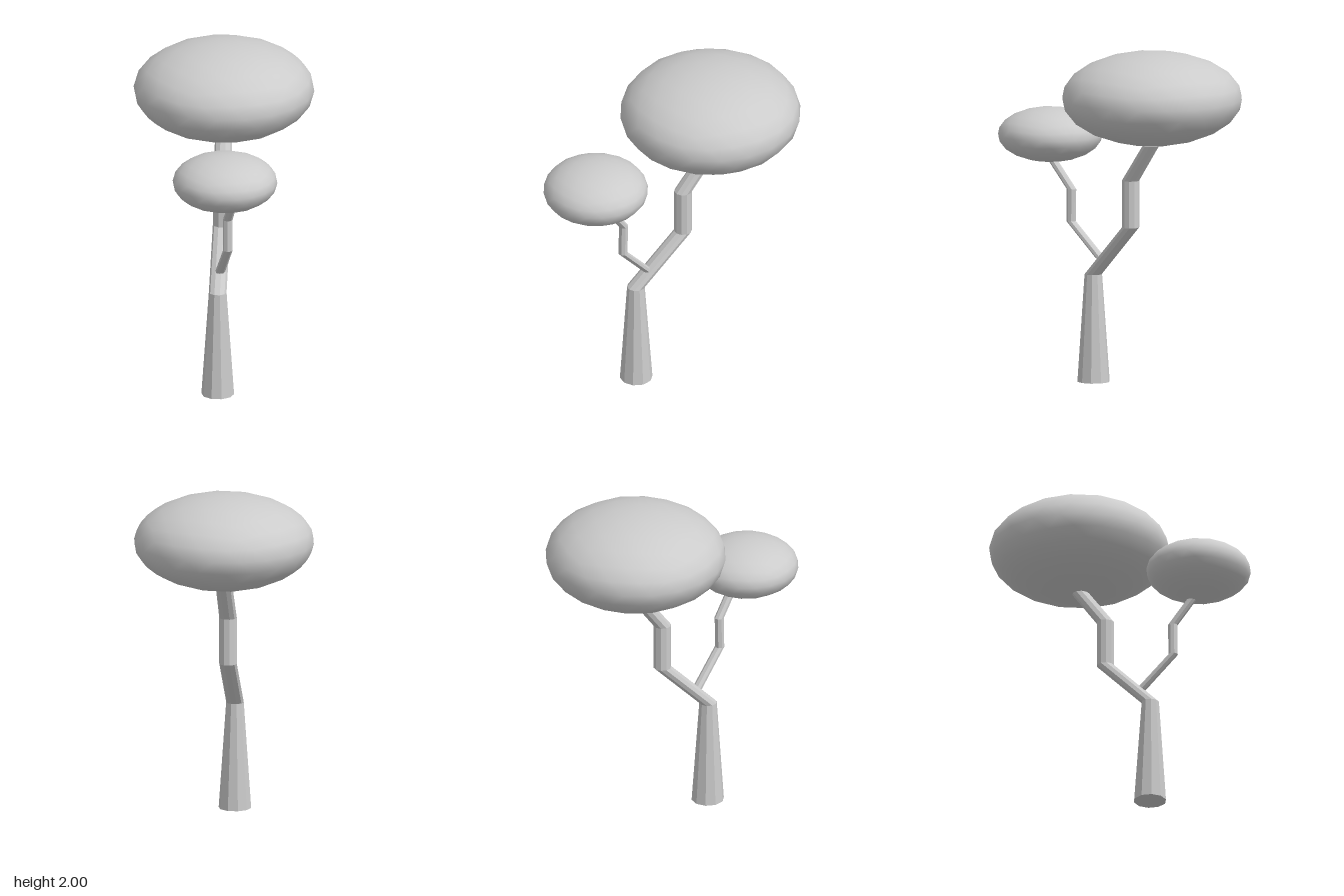
import * as THREE from 'three';

const bark = new THREE.MeshStandardMaterial({ color: 0xcccccc, flatShading: true });
const leaves = new THREE.MeshStandardMaterial({ color: 0xcccccc });

// Faceted limb through level rings [x, y, z, radius], listed bottom to top
function limb(name, rings, sides) {
  const pos = [], index = [];
  for (const [x, y, z, r] of rings) {
    for (let i = 0; i < sides; i++) {
      const a = (i / sides) * Math.PI * 2;
      pos.push(x + r * Math.cos(a), y, z + r * Math.sin(a));
    }
  }
  for (let k = 0; k < rings.length - 1; k++) {
    for (let i = 0; i < sides; i++) {
      const j = (i + 1) % sides;
      const a = k * sides + i, b = k * sides + j;
      index.push(a, a + sides, b, b, a + sides, b + sides);
    }
  }
  // End caps
  const top = (rings.length - 1) * sides;
  for (let i = 1; i < sides - 1; i++) {
    index.push(0, i, i + 1, top, top + i + 1, top + i);
  }
  const indexed = new THREE.BufferGeometry();
  indexed.setAttribute('position', new THREE.Float32BufferAttribute(pos, 3));
  indexed.setIndex(index);
  const geometry = indexed.toNonIndexed();
  geometry.computeVertexNormals();
  const mesh = new THREE.Mesh(geometry, bark);
  mesh.name = name;
  return mesh;
}

// Smooth flattened icosphere with a vertex at the top
function canopy(name, center, radii) {
  const geometry = new THREE.IcosahedronGeometry(1, 3);
  geometry.rotateZ(Math.atan(2 / (1 + Math.sqrt(5))));
  geometry.scale(...radii);
  const mesh = new THREE.Mesh(geometry, leaves);
  mesh.position.set(...center);
  mesh.name = name;
  return mesh;
}

export function createModel() {
  const tree = new THREE.Group();
  tree.name = 'tree';
  tree.add(
    limb('trunk', [
      [0, 0, 0.203, 0.096],
      [0, 0.635, 0.205, 0.052],
      [0, 0.943, -0.1, 0.052],
      [0, 1.22, -0.1, 0.052],
      [0, 1.445, -0.268, 0.05],
    ], 10),
    limb('branch', [
      [0.008, 0.735, 0.135, 0.029],
      [0.068, 0.943, 0.32, 0.028],
      [0.068, 1.133, 0.317, 0.028],
      [0.108, 1.3, 0.434, 0.028],
    ], 8),
    canopy('largeCanopy', [0, 1.725, -0.277], [0.53, 0.275, 0.53]),
    canopy('smallCanopy', [0.065, 1.438, 0.495], [0.307, 0.16, 0.307]),
  );
  return tree;
}
